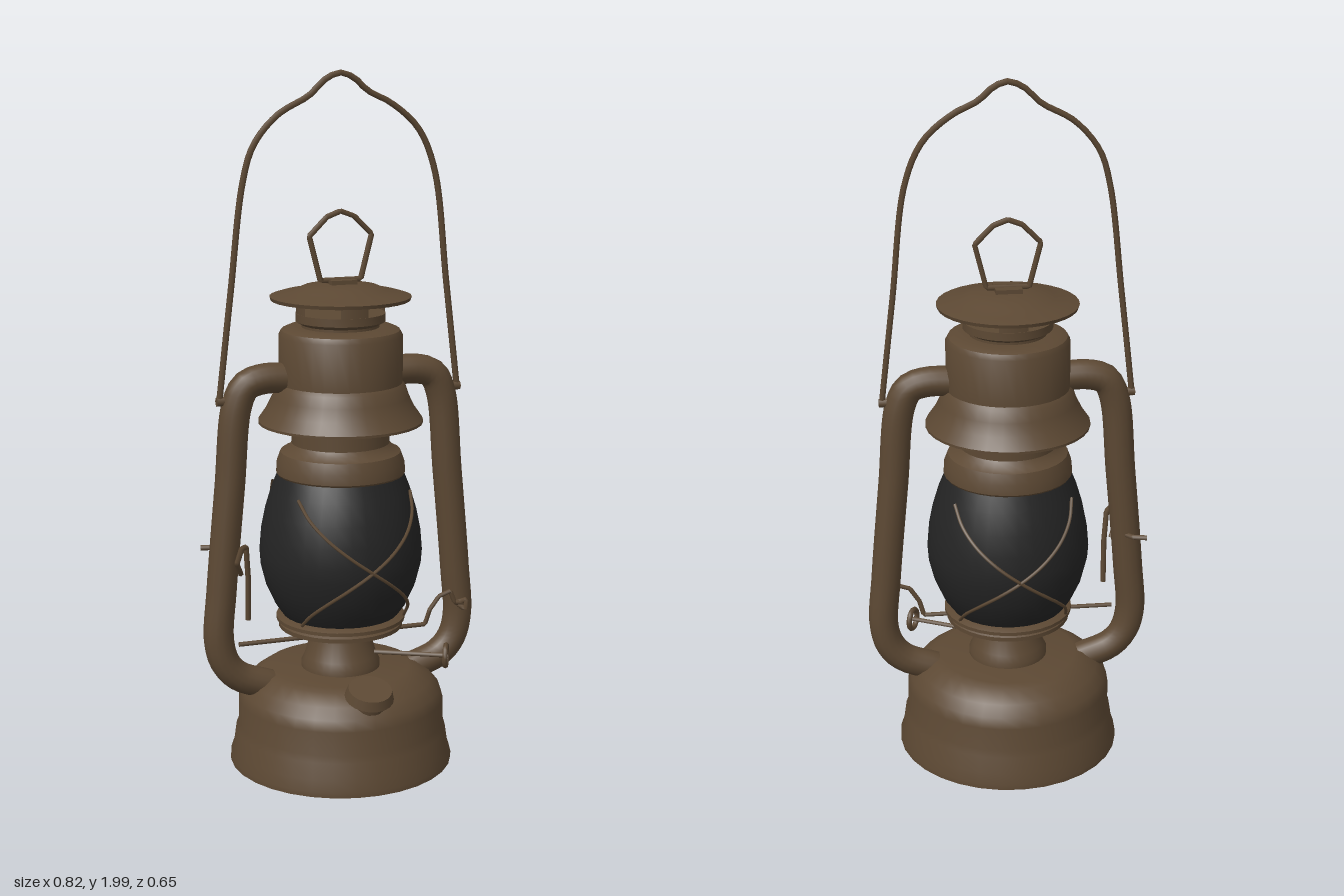
import * as THREE from 'three';
import { toCreasedNormals } from 'three/addons/utils/BufferGeometryUtils.js';

const metal = new THREE.MeshStandardMaterial({ color: 0x5c4833, side: THREE.DoubleSide });
metal.name = 'bronze metal';
const glass = new THREE.MeshStandardMaterial({ color: 0x242424, side: THREE.DoubleSide });
glass.name = 'dark glass';

export function createModel() {
  const root = new THREE.Group();
  const v = (p) => new THREE.Vector3(...p);

  const add = (name, geometry, material = metal, parent = root) => {
    const mesh = new THREE.Mesh(geometry, material);
    mesh.name = name;
    parent.add(mesh);
    return mesh;
  };
  // Turned part: [radius, height] pairs from bottom to top
  const turn = (name, profile, material) => add(name, toCreasedNormals(
    new THREE.LatheGeometry(profile.map(([r, y]) => new THREE.Vector2(r, y)), 32), 0.6), material);
  // Rod through points, with rounded or straight bends
  const rod = (name, points, radius, { straight = false, closed = false, sides = 6, steps = 40 } = {}) => {
    let curve;
    if (straight) {
      curve = new THREE.CurvePath();
      const pts = closed ? [...points, points[0]] : points;
      for (let i = 1; i < pts.length; i++) curve.add(new THREE.LineCurve3(v(pts[i - 1]), v(pts[i])));
    } else {
      curve = new THREE.CatmullRomCurve3(points.map(v), closed, 'centripetal');
    }
    return add(name, new THREE.TubeGeometry(curve, steps, radius, sides, closed));
  };

  // Fuel tank
  turn('fuelTank', [[0, 0.01], [0.31, 0.01], [0.325, 0.005], [0.325, 0.02], [0.315, 0.05], [0.308, 0.1],
    [0.3, 0.12], [0.3, 0.19], [0.29, 0.22], [0.265, 0.25], [0.225, 0.278], [0.2, 0.285], [0, 0.285]]);

  // Burner and the plate carrying the globe
  turn('burner', [[0.115, 0.28], [0.115, 0.3], [0.105, 0.32], [0.09, 0.37], [0.082, 0.4], [0.082, 0.42]]);
  turn('globePlate', [[0, 0.405], [0.165, 0.405], [0.18, 0.41], [0.18, 0.422], [0.172, 0.427],
    [0.187, 0.432], [0.187, 0.442], [0.165, 0.452], [0, 0.452]]);

  // Glass globe
  const globe = [[0.165, 0.445], [0.19, 0.48], [0.217, 0.54], [0.232, 0.6], [0.235, 0.64],
    [0.23, 0.7], [0.218, 0.76], [0.2, 0.82], [0.182, 0.865]];
  turn('globe', globe, glass);

  // Chimney, hood and vented crown
  turn('chimney', [[0, 0.86], [0.178, 0.86], [0.185, 0.87], [0.183, 0.9], [0.172, 0.93], [0.15, 0.942],
    [0.14, 0.955], [0.14, 1.2]]);
  turn('hood', [[0.235, 1.015], [0.235, 1.022], [0.212, 1.055], [0.195, 1.09], [0.185, 1.12],
    [0.176, 1.13], [0.176, 1.265], [0.168, 1.28], [0.15, 1.288], [0.11, 1.288]]);
  turn('crownRing', [[0.11, 1.285], [0.11, 1.295], [0.127, 1.305], [0.127, 1.328], [0, 1.328]]);
  for (let i = 0; i < 4; i++) {
    add('ventPost', new THREE.CylinderGeometry(0.125, 0.125, 0.07, 5, 1, true,
      i * Math.PI / 2 - 0.33, 0.66)).position.y = 1.35;
  }
  turn('cap', [[0, 1.372], [0.13, 1.375], [0.197, 1.365], [0.2, 1.375], [0.17, 1.384],
    [0.13, 1.392], [0.105, 1.403], [0.05, 1.41], [0, 1.411]]);

  // Small ring handle on the cap
  add('ringBracket', new THREE.BoxGeometry(0.075, 0.014, 0.07)).position.y = 1.415;
  rod('capRing', [[-0.06, 1.42, 0], [-0.092, 1.545, 0], [-0.04, 1.597, 0], [0, 1.612, 0],
    [0.04, 1.597, 0], [0.092, 1.545, 0], [0.06, 1.42, 0]], 0.008,
  { straight: true, closed: true, steps: 84 });

  // Side air tubes and the bail hinges
  for (const s of [-1, 1]) {
    rod('airTube', [[s * 0.14, 1.15, 0], [s * 0.23, 1.152, 0], [s * 0.28, 1.135, 0], [s * 0.307, 1.08, 0],
      [s * 0.33, 0.85, 0], [s * 0.358, 0.55, 0], [s * 0.368, 0.4, 0], [s * 0.35, 0.33, 0],
      [s * 0.31, 0.285, 0], [s * 0.22, 0.25, 0]], 0.043, { sides: 14, steps: 56 });
    const hinge = add('bailHinge', new THREE.CylinderGeometry(0.013, 0.013, 0.06, 8));
    hinge.rotation.z = Math.PI / 2;
    hinge.position.set(s * 0.335, 1.095, 0);
  }

  // Carrying bail
  rod('bail', [[-0.358, 1.085, 0], [-0.32, 1.4, 0], [-0.282, 1.7, 0], [-0.25, 1.8, 0], [-0.18, 1.88, 0],
    [-0.09, 1.93, 0], [-0.045, 1.972, 0], [0, 1.99, 0], [0.04, 1.975, 0], [0.08, 1.94, 0], [0.15, 1.905, 0],
    [0.23, 1.835, 0], [0.28, 1.72, 0], [0.32, 1.4, 0], [0.358, 1.085, 0]], 0.009, { steps: 80 });

  // Crossed guard wires, bowed out in front of and behind the globe
  for (const face of [0, Math.PI]) {
    for (const s of [-1, 1]) {
      const points = [];
      for (let i = 0; i <= 8; i++) {
        const t = i / 8;
        const a = face + s * (t - 0.5) * 1.9;
        const r = 0.19 + 0.075 * Math.sin(Math.PI * t) + 0.015 * t;
        points.push([r * Math.sin(a), 0.455 + 0.37 * t, r * Math.cos(a)]);
      }
      rod('guardWire', points, 0.005, { sides: 5 });
    }
  }

  // Globe lifting lever
  rod('liftLever', [[-0.32, 0.395, 0.04], [0.245, 0.395, 0.05], [0.258, 0.44, 0.055], [0.285, 0.48, 0.06],
    [0.32, 0.492, 0.06], [0.335, 0.455, 0.06], [0.372, 0.45, 0.06]], 0.007, { straight: true, steps: 110 });
  rod('leverGrip', [[0.345, 0.45, 0.05], [0.37, 0.465, 0.07], [0.365, 0.435, 0.07]], 0.008,
    { straight: true, closed: true, steps: 18 });

  // Side latch loop and its rear stub
  rod('latchLoop', [[-0.295, 0.47, 0.05], [-0.297, 0.6, 0.06], [-0.305, 0.69, 0.07], [-0.325, 0.695, 0.095],
    [-0.338, 0.65, 0.09], [-0.318, 0.61, 0.06]], 0.008, { straight: true, steps: 60 });
  rod('latchStub', [[-0.34, 0.66, -0.03], [-0.36, 0.66, -0.055], [-0.4, 0.66, -0.065]], 0.008, { straight: true });

  // Wick shaft with its wheel
  rod('wickShaft', [[0.06, 0.33, 0.04], [0.275, 0.33, 0.155]], 0.007, { straight: true, steps: 4 });
  const wheel = add('wickWheel', new THREE.TorusGeometry(0.03, 0.008, 6, 16));
  wheel.position.set(0.27, 0.33, 0.152);
  wheel.rotation.y = 1.08;

  // Tilted filler cap on the tank shoulder
  const filler = new THREE.Group();
  filler.name = 'fillerCap';
  filler.position.set(0, 0.275, 0.245);
  filler.rotation.x = 0.3;
  root.add(filler);
  add('fillerNeck', new THREE.CylinderGeometry(0.05, 0.05, 0.07, 20), metal, filler).position.y = -0.035;
  add('fillerLid', new THREE.CylinderGeometry(0.062, 0.07, 0.028, 20), metal, filler).position.y = 0.008;

  return root;
}
